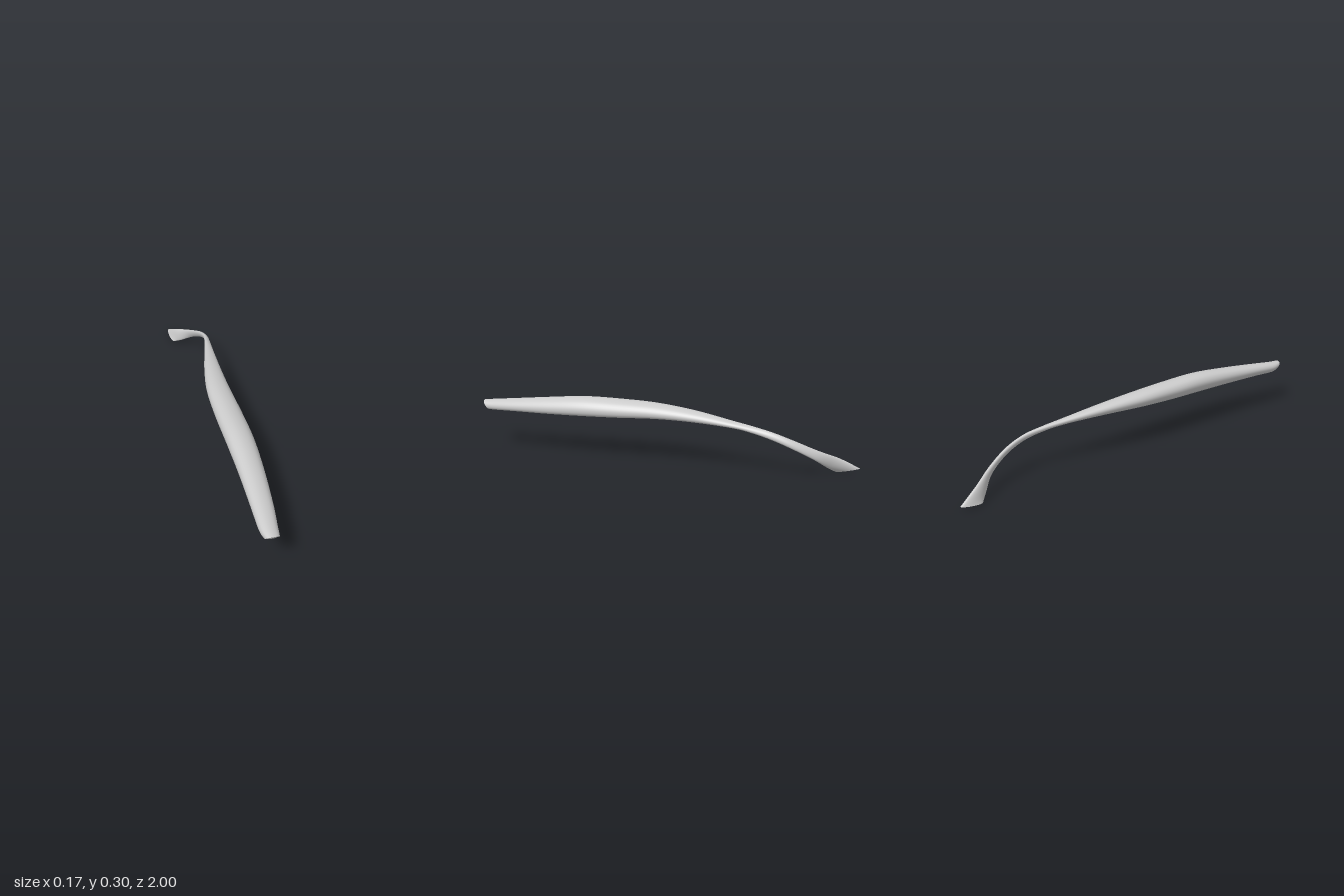
import * as THREE from 'three';

// Stations along the muscle: z, x min, x max, y min, y max, z slant, strap blend (0 belly, 1 flat strap)
const STATIONS = [
  [0.98, -0.045, 0.02, 0.203, 0.251, 0.02, 0],
  [0.93, -0.055, 0.027, 0.202, 0.256, 0.01, 0],
  [0.8, -0.055, 0.045, 0.205, 0.27, 0, 0],
  [0.6, -0.055, 0.064, 0.207, 0.29, 0, 0],
  [0.4, -0.06, 0.074, 0.21, 0.306, 0, 0],
  [0.2, -0.064, 0.07, 0.214, 0.304, 0, 0],
  [0, -0.058, 0.061, 0.221, 0.295, 0, 0],
  [-0.2, -0.026, 0.062, 0.22, 0.274, 0, 0.2],
  [-0.4, 0.02, 0.07, 0.21, 0.242, 0, 0.5],
  [-0.5, 0.042, 0.077, 0.195, 0.226, 0, 0.8],
  [-0.6, 0.057, 0.084, 0.17, 0.205, 0, 1],
  [-0.7, 0.046, 0.076, 0.13, 0.17, 0, 1],
  [-0.8, 0.008, 0.04, 0.078, 0.123, -0.005, 1],
  [-0.88, -0.05, -0.016, 0.028, 0.078, -0.025, 1],
  [-0.945, -0.086, -0.055, 0.003, 0.026, -0.055, 1],
];
const SIDES = 36;
const STEPS = 84;

// Belly outline in a unit box: domed top, flat underside, low right edge
const belly = new THREE.CatmullRomCurve3([
  [1, -0.4], [0.93, 0.1], [0.65, 0.62], [0.2, 0.92], [-0.3, 1], [-0.78, 0.78],
  [-1, 0.25], [-0.92, -0.35], [-0.65, -0.88], [-0.1, -1], [0.5, -0.97], [0.88, -0.8],
].map(([u, v]) => new THREE.Vector3(u, v, 0)), true);

// Smooth interpolation of every station column
function stationAt(t) {
  const f = t * (STATIONS.length - 1);
  const i = Math.min(Math.floor(f), STATIONS.length - 2);
  const w = f - i;
  const at = (k) => STATIONS[THREE.MathUtils.clamp(k, 0, STATIONS.length - 1)];
  return STATIONS[0].map((_, c) => {
    const [a, b, d, e] = [at(i - 1)[c], at(i)[c], at(i + 1)[c], at(i + 2)[c]];
    return b + 0.5 * w * (d - a + w * (2 * a - 5 * b + 4 * d - e + w * (3 * (b - d) + e - a)));
  });
}

function ring(t) {
  const [z, x0, x1, y0, y1, slant, blend] = stationAt(t);
  const points = [];
  for (let j = 0; j < SIDES; j++) {
    const p = belly.getPoint(j / SIDES);
    const a = (j / SIDES) * Math.PI * 2 - 0.4;
    // Strap outline is an ellipse leaning towards -x at its top
    const u = THREE.MathUtils.lerp(p.x, Math.cos(a), blend);
    const v = THREE.MathUtils.lerp(p.y, Math.cos(a - 2.0), blend);
    points.push(new THREE.Vector3(
      (x0 + x1) / 2 + (u * (x1 - x0)) / 2,
      (y0 + y1) / 2 + (v * (y1 - y0)) / 2,
      z + slant * v,
    ));
  }
  return points;
}

function mesh(name, points, index, material) {
  const geometry = new THREE.BufferGeometry().setFromPoints(points);
  geometry.setIndex(index);
  geometry.computeVertexNormals();
  const m = new THREE.Mesh(geometry, material);
  m.name = name;
  return m;
}

// Closes an end with a fan around its centre
function endCap(name, points, facing, material) {
  const centre = new THREE.Vector3();
  points.forEach((p) => centre.addScaledVector(p, 1 / SIDES));
  centre.z += facing * 0.006;
  const index = [];
  for (let j = 0; j < SIDES; j++) {
    const k = (j + 1) % SIDES;
    index.push(SIDES, ...(facing > 0 ? [j, k] : [k, j]));
  }
  return mesh(name, [...points, centre], index, material);
}

export function createModel() {
  const group = new THREE.Group();
  group.name = 'strapMuscle';
  const material = new THREE.MeshStandardMaterial({ color: 0xcccccc });

  // Belly and tapering tendon in one smooth skin
  const rings = [];
  for (let i = 0; i <= STEPS; i++) rings.push(ring(i / STEPS));
  const index = [];
  for (let i = 0; i < STEPS; i++) {
    for (let j = 0; j < SIDES; j++) {
      const k = (j + 1) % SIDES;
      const a = i * SIDES + j, b = i * SIDES + k;
      index.push(a, a + SIDES, b, b, a + SIDES, b + SIDES);
    }
  }
  group.add(mesh('muscleBellyAndTendon', rings.flat(), index, material));

  // Cut ends
  group.add(endCap('frontEnd', rings[0], 1, material));
  group.add(endCap('tendonEnd', rings[STEPS], -1, material));
  return group;
}
